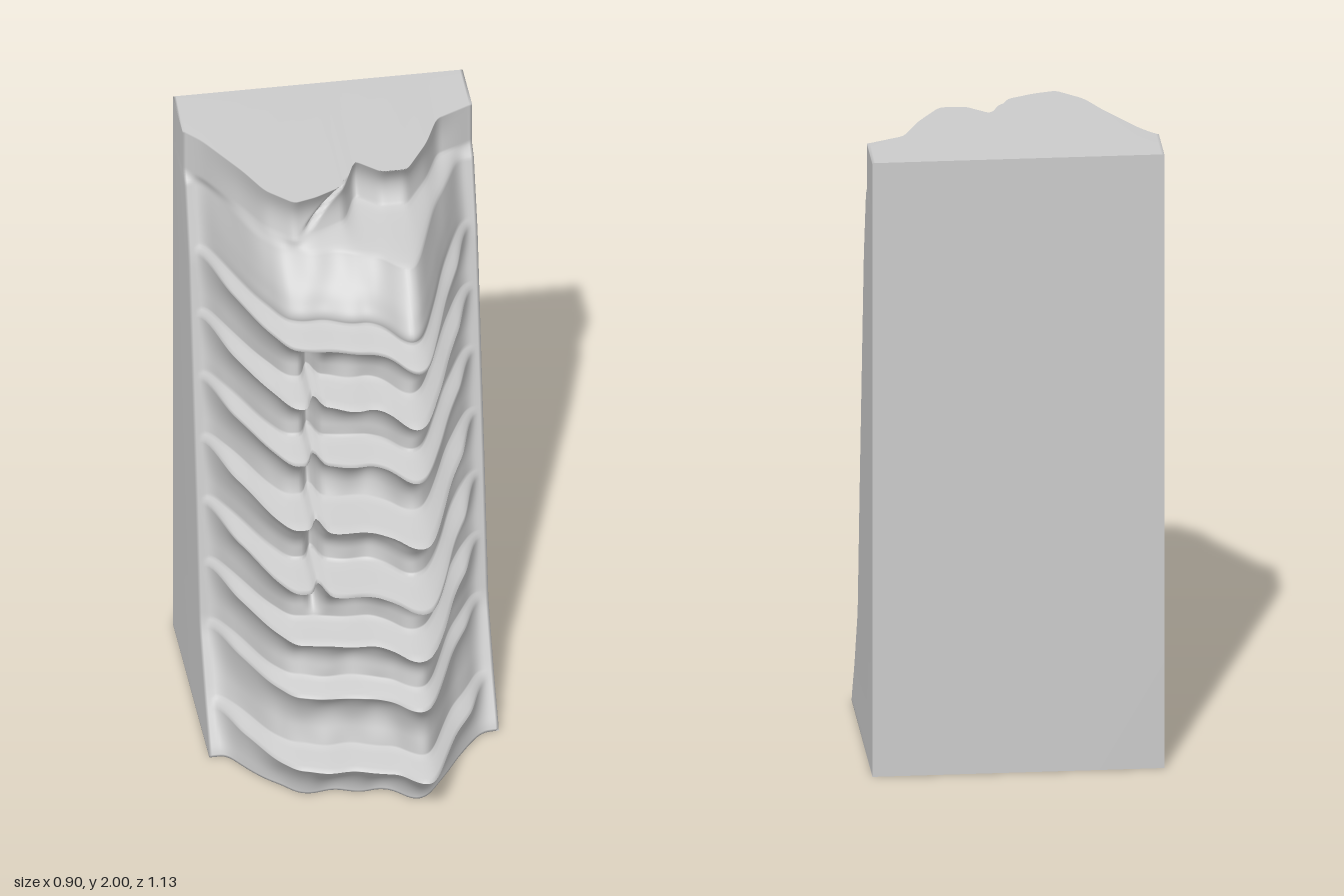
import * as THREE from 'three';
import { mergeGeometries, mergeVertices } from 'three/addons/utils/BufferGeometryUtils.js';

const W = 0.45, H = 2, BACK = -0.56, NX = 100, NY = 300;

// Piecewise-linear curve through [position, value] pairs
const curve = (pts) => (t) => {
  if (t <= pts[0][0]) return pts[0][1];
  for (let i = 1; i < pts.length; i++) {
    const [a, va] = pts[i - 1], [b, vb] = pts[i];
    if (t <= b) return va + (vb - va) * (t - a) / (b - a);
  }
  return pts[pts.length - 1][1];
};
// Rounds the corners of a curve by averaging over a small window
const soften = (f, r) => (t) => {
  let s = 0;
  for (let i = -3; i <= 3; i++) s += f(t + r * i / 3);
  return s / 7;
};
const smooth = THREE.MathUtils.smoothstep;
const bell = (d, w) => Math.exp(-(d * d) / (w * w));

// Depth of the outer side edges, by height
const edge = soften(curve([[0, 0.15], [0.15, 0.05], [0.36, -0.06], [0.8, -0.13],
  [1.2, -0.2], [1.6, -0.27], [1.85, -0.35], [2, -0.38]]), 0.03);
// Depth of the scallop floors along the foremost line, by height
const floor = soften(curve([[0, 0.455], [0.1, 0.455], [0.27, 0.43], [0.45, 0.39], [0.65, 0.39], [0.9, 0.385],
  [1.03, 0.325], [1.3, 0.31], [1.6, 0.305], [1.66, 0.345], [1.72, 0.3], [1.8, 0.21], [1.83, 0.18]]), 0.015);
// How far the relief stands out across the width
const across = soften(curve([[-0.45, 0], [-0.4, 0.0], [-0.34, 0.25], [-0.28, 0.53], [-0.22, 0.72],
  [-0.15, 0.75], [-0.05, 0.79], [0.03, 0.81], [0.08, 0.87], [0.13, 1], [0.17, 1.01], [0.2, 0.93],
  [0.25, 0.68], [0.3, 0.4], [0.36, 0.15], [0.4, 0.01], [0.45, 0]]), 0.018);
// Depth of the set-back crown across the width
const crown = soften(curve([[-0.45, -0.38], [-0.4, -0.32], [-0.3, -0.14], [-0.25, -0.03], [-0.17, 0.05],
  [-0.1, 0.03], [0, -0.02], [0.045, -0.14], [0.12, -0.07], [0.2, -0.07], [0.28, -0.2],
  [0.33, -0.32], [0.45, -0.38]]), 0.012);
// Ridge crests: [height, depth]
const crests = [[-0.1, 0.5], [0.135, 0.565], [0.355, 0.5], [0.56, 0.525], [0.77, 0.565],
  [0.98, 0.51], [1.19, 0.46], [1.4, 0.46], [1.61, 0.46]];

// Sharp crest with a short, nearly flat top and a concave cove beneath
function ridge(y) {
  const i = crests.findIndex((c) => c[0] > y);
  const [a, za] = crests[i < 0 ? crests.length - 1 : i - 1];
  let r = Math.max(0, 1 - (y - a) / 0.025) * (za - floor(a));
  if (i > 0) {
    const [b, zb] = crests[i];
    r += Math.max(0, 1 - (b - y) / 0.14) ** 2 * (zb - floor(b));
  }
  return r;
}

function reliefDepth(x, y) {
  const e = edge(y), p = across(x);
  const reach = (1 - smooth(Math.abs(x), 0.35, 0.43)) * (0.65 + 0.35 * p);
  let z = e + (floor(y) - e) * p + ridge(y) * reach;
  // upright cleft between the bulging blocks
  const cleft = smooth(y, 0.58, 0.68) * (1 - smooth(y, 1.56, 1.6));
  z -= 0.07 * cleft * bell(x + 0.143, 0.018);
  // gentle unevenness of the carved surface
  const rough = Math.sin(17 * x + 9 * y) * Math.sin(13 * y - 21 * x) + 0.6 * Math.sin(41 * x + 3) * Math.sin(23 * y + 1);
  z += 0.01 * rough * reach;
  // crown above the ledge, with a slanting crack
  const crack = bell(x - (y - 2), 0.012) * smooth(y, 1.86, 1.9);
  const hollow = Math.sin(Math.PI * THREE.MathUtils.clamp((y - 1.85) / 0.15, 0, 1));
  const top = crown(x) - 0.035 * p * hollow - 0.025 * crack;
  return z + (top - z) * smooth(y, 1.82, 1.862);
}

// Grid surface; point(u, v) returns [x, y, z], front face follows u cross v
function sheet(nu, nv, point) {
  const pos = [], idx = [];
  for (let j = 0; j <= nv; j++) for (let i = 0; i <= nu; i++) pos.push(...point(i / nu, j / nv));
  for (let j = 0; j < nv; j++) for (let i = 0; i < nu; i++) {
    const a = j * (nu + 1) + i, b = a + 1, c = a + nu + 1, d = c + 1;
    idx.push(a, b, d, a, d, c);
  }
  const g = new THREE.BufferGeometry();
  g.setAttribute('position', new THREE.Float32BufferAttribute(pos, 3));
  g.setIndex(idx);
  return g;
}

export function createModel() {
  const X = (u) => (u * 2 - 1) * W;
  const between = (z, t) => BACK + (z - BACK) * t;
  const sheets = [
    // carved front and plain back
    sheet(NX, NY, (u, v) => [X(u), v * H, reliefDepth(X(u), v * H)]),
    sheet(1, 1, (u, v) => [-X(u), v * H, BACK]),
    // left and right walls, running from the relief edge to the back
    sheet(1, NY, (u, v) => [W, v * H, between(reliefDepth(W, v * H), 1 - u)]),
    sheet(1, NY, (u, v) => [-W, v * H, between(reliefDepth(-W, v * H), u)]),
    // flat caps that follow the relief outline
    sheet(NX, 1, (u, v) => [X(u), H, between(reliefDepth(X(u), H), 1 - v)]),
    sheet(NX, 1, (u, v) => [X(u), 0, between(reliefDepth(X(u), 0), v)]),
  ];
  // one welded skin, so the shading runs softly over the edges
  const skin = mergeVertices(mergeGeometries(sheets), 1e-4);
  skin.computeVertexNormals();
  const block = new THREE.Mesh(skin, new THREE.MeshStandardMaterial({ color: 0xcccccc }));
  block.name = 'carvedBlock';
  const group = new THREE.Group();
  group.name = 'reliefBlock';
  group.add(block);
  return group;
}
